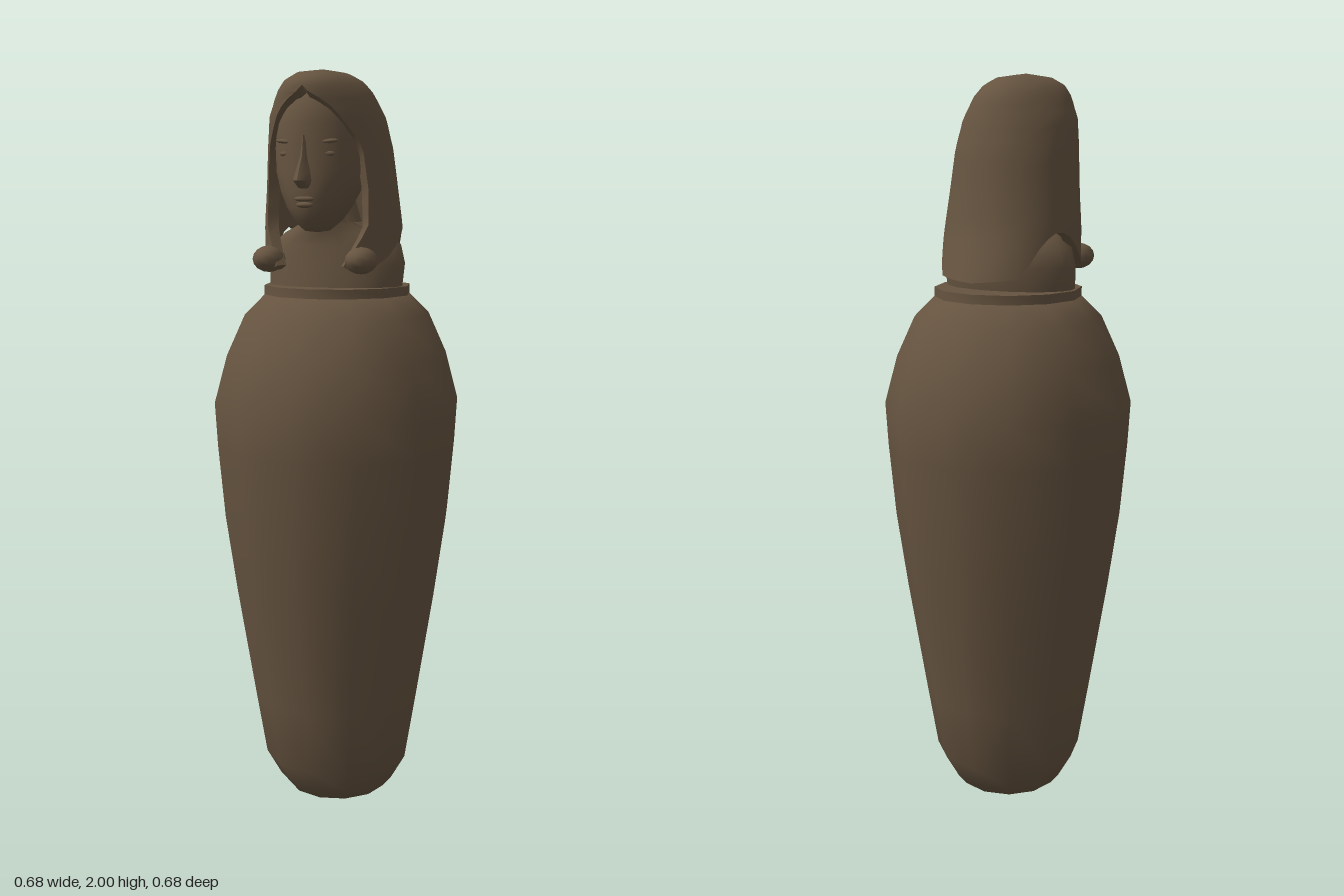
import * as THREE from 'three';
import { toCreasedNormals } from 'three/addons/utils/BufferGeometryUtils.js';

const clay = new THREE.MeshStandardMaterial({ color: 0x665440 });
clay.name = 'brown clay';

// Linear lookup in a table of [key, ...values] sorted by rising key
function lookup(table, k) {
  if (k <= table[0][0]) return table[0].slice(1);
  for (let i = 1; i < table.length; i++) {
    if (k <= table[i][0]) {
      const p = table[i - 1], q = table[i], f = (k - p[0]) / (q[0] - p[0]);
      return p.slice(1).map((v, j) => v + (q[j + 1] - v) * f);
    }
  }
  return table[table.length - 1].slice(1);
}

// Point on an oval section; phi = 0 is the back, positive towards +x
function ovalPoint(y, [half, back, front], phi, inset = 0) {
  const a = Math.max(half - inset, 0), d = Math.max((front - back) / 2 - inset, 0);
  return [a * Math.sin(phi), y, (front + back) / 2 - d * Math.cos(phi)];
}

// Skin closed rings of equal length, listed from top to bottom
function skin(rings, hem = false, crease = 0.9) {
  const n = rings[0].length, index = [];
  const quad = (a, b, c, d) => index.push(a, b, c, a, c, d);
  for (let r = 0; r < rings.length - 1; r++) {
    for (let i = 0; i < n; i++) {
      const j = (i + 1) % n;
      quad(r * n + i, r * n + j, (r + 1) * n + j, (r + 1) * n + i);
    }
  }
  if (hem) { // join the outer and inner halves of the last ring
    const o = (rings.length - 1) * n;
    for (let i = 0; i < n / 2 - 1; i++) quad(o + i, o + i + 1, o + n - 2 - i, o + n - 1 - i);
  }
  const g = new THREE.BufferGeometry();
  g.setAttribute('position', new THREE.Float32BufferAttribute(rings.flat(2), 3));
  g.setIndex(index);
  return toCreasedNormals(g, crease);
}

// Stack of ovals, rows of [y, halfWidth, back, front] from top to bottom
function ovalLoft(rows, sides) {
  return skin(rows.map(([y, ...s]) =>
    Array.from({ length: sides }, (_, i) => ovalPoint(y, s, (i / sides) * Math.PI * 2))));
}

function lathe(points, sides) {
  return toCreasedNormals(new THREE.LatheGeometry(points.map(p => new THREE.Vector2(...p)), sides), 0.9);
}

// Hair tables: section by height, opening angle by height, hem height by column
const hairSection = [
  [1.47, 0.185, -0.205, 0.23], [1.6, 0.185, -0.155, 0.21], [1.7, 0.175, -0.135, 0.21],
  [1.8, 0.165, -0.12, 0.22], [1.88, 0.15, -0.1, 0.238], [1.94, 0.12, -0.08, 0.247],
  [1.97, 0.095, -0.055, 0.24], [1.99, 0.06, -0.01, 0.2], [2, 0, 0.1, 0.1],
];
const hairEdge = [
  [1.5, 150], [1.6, 130], [1.7, 127], [1.8, 128], [1.85, 138], [1.9, 150], [1.93, 165], [1.945, 180],
];
const hairHem = [
  [0, 1.47], [0.25, 1.48], [0.4, 1.57], [0.53, 1.6], [0.63, 1.58], [0.77, 1.51], [0.9, 1.48], [1, 1.5],
];

function hairGeometry() {
  const rows = 22, cols = 33, rings = [];
  for (let r = 0; r <= rows; r++) {
    const t = Math.pow(r / rows, 1.6), outer = [], inner = [];
    for (let c = 0; c < cols; c++) {
      const u = (c / (cols - 1)) * 2 - 1;
      const y = 2 - (2 - lookup(hairHem, Math.abs(u))[0]) * t;
      const phi = u * THREE.MathUtils.degToRad(lookup(hairEdge, y)[0]);
      const s = lookup(hairSection, y);
      outer.push(ovalPoint(y, s, phi));
      inner.unshift(ovalPoint(y - 0.02 * (1 - t), s, phi, 0.03));
    }
    rings.push([...outer, ...inner]);
  }
  return skin(rings, true);
}

export function createModel() {
  const model = new THREE.Group();
  const add = (name, geometry, parent = model) => {
    const m = new THREE.Mesh(geometry, clay);
    m.name = name;
    parent.add(m);
    return m;
  };
  const ellipsoid = (name, parent, pos, scale, tilt = 0) => {
    const m = add(name, new THREE.SphereGeometry(1, 12, 8), parent);
    m.position.set(...pos);
    m.scale.set(...scale);
    m.rotation.z = tilt;
  };

  // Twelve-sided jar and the rim of its lid
  add('jarBody', lathe([[0, 0], [0.14, 0], [0.165, 0.03], [0.205, 0.1], [0.235, 0.28], [0.285, 0.59],
    [0.315, 0.8], [0.333, 1], [0.34, 1.12], [0.305, 1.25], [0.255, 1.36], [0.2, 1.415], [0, 1.415]], 12));
  add('lidRim', lathe([[0, 1.41], [0.2, 1.41], [0.2, 1.44], [0, 1.44]], 12));

  // Bust: shoulders and neck in one piece
  const lid = new THREE.Group();
  lid.name = 'lidFigure';
  model.add(lid);
  add('shouldersAndNeck', ovalLoft([
    [1.68, 0, 0.05, 0.05], [1.68, 0.06, -0.03, 0.13], [1.61, 0.075, -0.06, 0.13], [1.58, 0.14, -0.09, 0.12],
    [1.55, 0.18, -0.11, 0.12], [1.5, 0.192, -0.115, 0.125], [1.435, 0.187, -0.105, 0.13],
  ], 20), lid);

  // Head
  add('face', ovalLoft([
    [1.955, 0, 0.1, 0.1], [1.95, 0.07, 0, 0.2], [1.92, 0.1, -0.02, 0.225], [1.86, 0.117, -0.03, 0.236],
    [1.8, 0.123, -0.03, 0.235], [1.74, 0.118, -0.02, 0.238], [1.69, 0.102, 0, 0.238],
    [1.65, 0.082, 0.02, 0.234], [1.615, 0.058, 0.05, 0.222], [1.59, 0.03, 0.09, 0.195], [1.585, 0, 0.14, 0.14],
  ], 24), lid);
  add('nose', ovalLoft([
    [1.83, 0.006, 0.2, 0.238], [1.78, 0.011, 0.2, 0.246], [1.735, 0.019, 0.2, 0.272],
    [1.718, 0.022, 0.2, 0.28], [1.7, 0.016, 0.2, 0.252], [1.695, 0, 0.22, 0.22],
  ], 8), lid);
  ellipsoid('upperLip', lid, [0, 1.672, 0.234], [0.028, 0.007, 0.011]);
  ellipsoid('lowerLip', lid, [0, 1.657, 0.231], [0.024, 0.008, 0.011]);
  for (const s of [1, -1]) {
    const side = s > 0 ? 'left' : 'right';
    ellipsoid(side + 'Brow', lid, [s * 0.055, 1.815, 0.213], [0.032, 0.006, 0.012], s * 0.1);
    ellipsoid(side + 'Eye', lid, [s * 0.052, 1.785, 0.212], [0.024, 0.008, 0.01]);
    // Rounded end of the front lock
    ellipsoid(side + 'LockEnd', lid, [s * 0.13, 1.515, 0.165], [0.042, 0.035, 0.05]);
  }

  // Long hair with two front locks
  add('hair', hairGeometry(), lid);
  return model;
}
